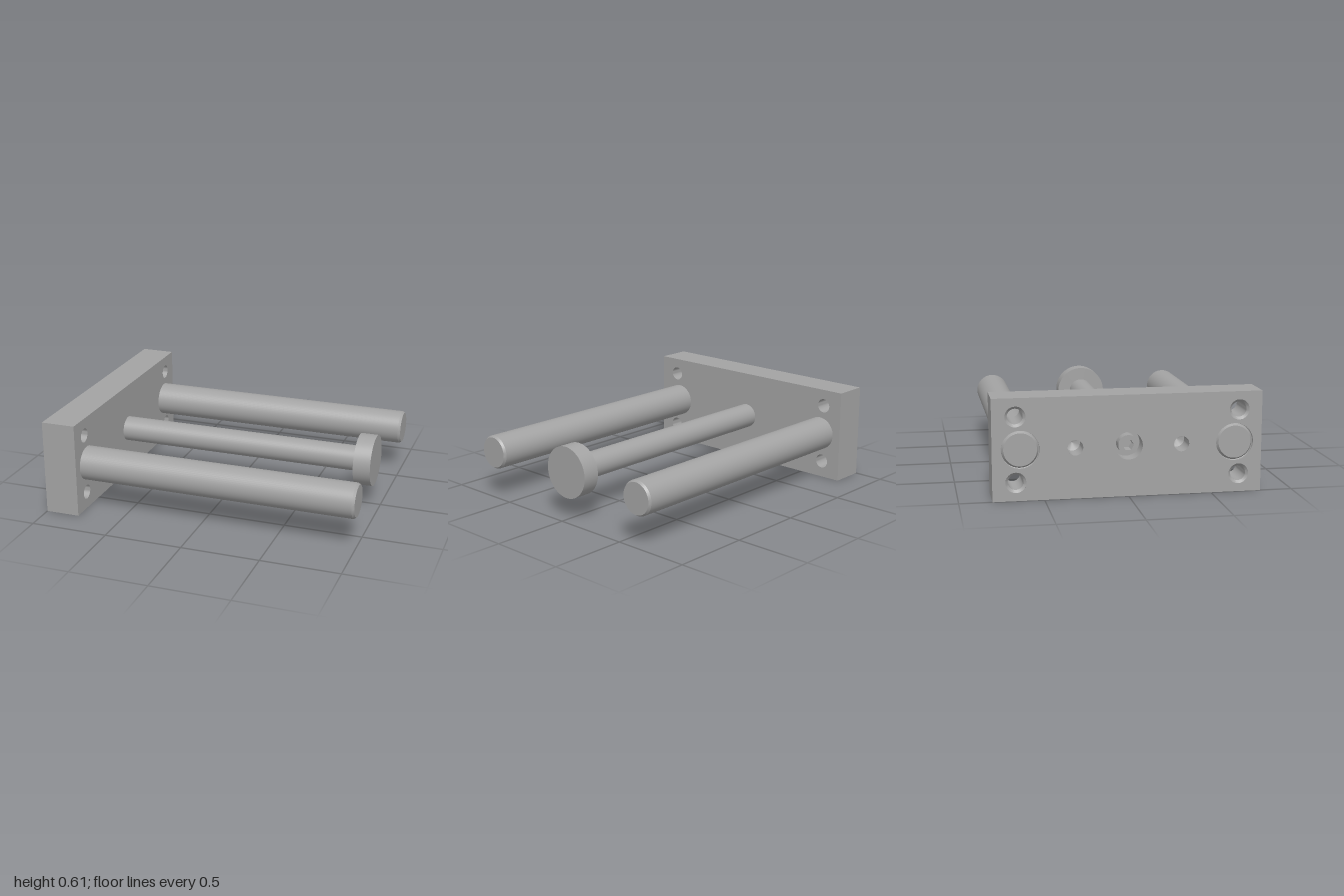
import * as THREE from 'three';
import { toCreasedNormals } from 'three/addons/utils/BufferGeometryUtils.js';

const BACK = -1, FACE = -0.78;      // plate faces along x
const HEIGHT = 0.61, WIDTH = 1.61;  // plate size in y and z

export function createModel() {
  const model = new THREE.Group();
  model.name = 'guideUnit';
  const steel = new THREE.MeshStandardMaterial({ color: 0xa3a3a3 });
  steel.name = 'steel grey';

  // Everything is laid out about the axis height of the rods
  const add = (name, geometry, y = 0, z = 0, parent = model) => {
    const mesh = new THREE.Mesh(geometry, steel);
    mesh.name = name;
    mesh.position.set(0, y + HEIGHT / 2, z);
    parent.add(mesh);
    return mesh;
  };

  // Turned part around the x axis; points are [radius, x].
  // Rising x gives an outer surface, falling x gives the inside of a bore.
  const turned = (points, segments = 48) => {
    const g = new THREE.LatheGeometry(points.map(([r, x]) => new THREE.Vector2(r, x)), segments);
    g.rotateZ(-Math.PI / 2);
    return toCreasedNormals(g, 0.5);
  };

  const circle = (z, y, r) => new THREE.Path().absarc(z, y, r, 0, Math.PI * 2, true);
  const plateShape = (holes) => {
    const s = new THREE.Shape();
    const w = WIDTH / 2, h = HEIGHT / 2;
    s.moveTo(-w, -h).lineTo(w, -h).lineTo(w, h).lineTo(-w, h).closePath();
    s.holes = holes;
    return s;
  };

  const corners = [];
  for (const z of [-0.667, 0.667]) for (const y of [-0.195, 0.195]) corners.push([z, y]);
  const rodZ = [-0.64, 0.64], dowelZ = [-0.317, 0.317];

  // End plate: front and back faces with their holes
  const plate = new THREE.Group();
  plate.name = 'endPlate';
  model.add(plate);
  const frontFace = new THREE.ShapeGeometry(plateShape(corners.map(([z, y]) => circle(z, y, 0.046))), 24);
  add('plateFrontFace', frontFace.rotateY(Math.PI / 2).translate(FACE, 0, 0), 0, 0, plate);
  const backFace = new THREE.ShapeGeometry(plateShape([
    ...corners.map(([z, y]) => circle(z, y, 0.061)),
    ...rodZ.map((z) => circle(z, 0, 0.113)),
    ...dowelZ.map((z) => circle(z, 0, 0.046)),
    circle(0, 0, 0.083),
  ]), 24);
  add('plateBackFace', backFace.rotateY(-Math.PI / 2).translate(BACK, 0, 0), 0, 0, plate);

  // End plate: four edges
  const thick = FACE - BACK, mid = (FACE + BACK) / 2;
  for (const s of [-1, 1]) {
    const edge = new THREE.PlaneGeometry(thick, WIDTH).rotateX(-s * Math.PI / 2);
    add(s > 0 ? 'plateTop' : 'plateBottom', edge.translate(mid, s * HEIGHT / 2, 0), 0, 0, plate);
    const end = new THREE.PlaneGeometry(thick, HEIGHT).rotateY(s > 0 ? 0 : Math.PI);
    add('plateEnd', end.translate(mid, 0, s * WIDTH / 2), 0, 0, plate);
  }

  // Through holes with a chamfer at the back
  for (const [z, y] of corners)
    add('mountingHole', turned([[0.046, FACE], [0.046, BACK + 0.015], [0.061, BACK]], 32), y, z, plate);

  // Blind dowel holes in the back
  for (const z of dowelZ)
    add('dowelHole', turned([[0, -0.85], [0.046, -0.87], [0.046, BACK]], 32), 0, z, plate);

  // Guide rods, chamfered at both ends, with the seat around the rear chamfer
  for (const z of rodZ) {
    add('guideRod', turned([[0, BACK], [0.098, BACK], [0.11, BACK + 0.018],
      [0.11, 0.985], [0.1, 1], [0, 1]], 64), 0, z);
    add('rodSeat', turned([[0.11, BACK + 0.02], [0.113, BACK + 0.018], [0.113, BACK]], 64), 0, z, plate);
  }

  // Piston rod with its disc head
  add('pistonRod', turned([[0.082, FACE], [0.082, 0.845]]));
  add('pistonHead', turned([[0, 0.845], [0.166, 0.845], [0.166, 0.956], [0, 0.956]], 64));

  // Recess and hex socket screw in the middle of the back face
  add('screwRecess', turned([[0, -0.9], [0.083, -0.9], [0.083, BACK]]), 0, 0, plate);
  const head = new THREE.Shape().absarc(0, 0, 0.06, 0, Math.PI * 2);
  const hex = new THREE.Path();
  for (let i = 0; i < 6; i++) {
    const a = -i * Math.PI / 3;
    hex[i ? 'lineTo' : 'moveTo'](0.034 * Math.cos(a), 0.034 * Math.sin(a));
  }
  hex.closePath();
  head.holes.push(hex);
  const screw = new THREE.ExtrudeGeometry(head, { depth: 0.08, bevelEnabled: false, curveSegments: 24 });
  screw.rotateY(-Math.PI / 2).translate(-0.9, 0, 0);
  add('socketScrew', toCreasedNormals(screw, 0.5));

  return model;
}
